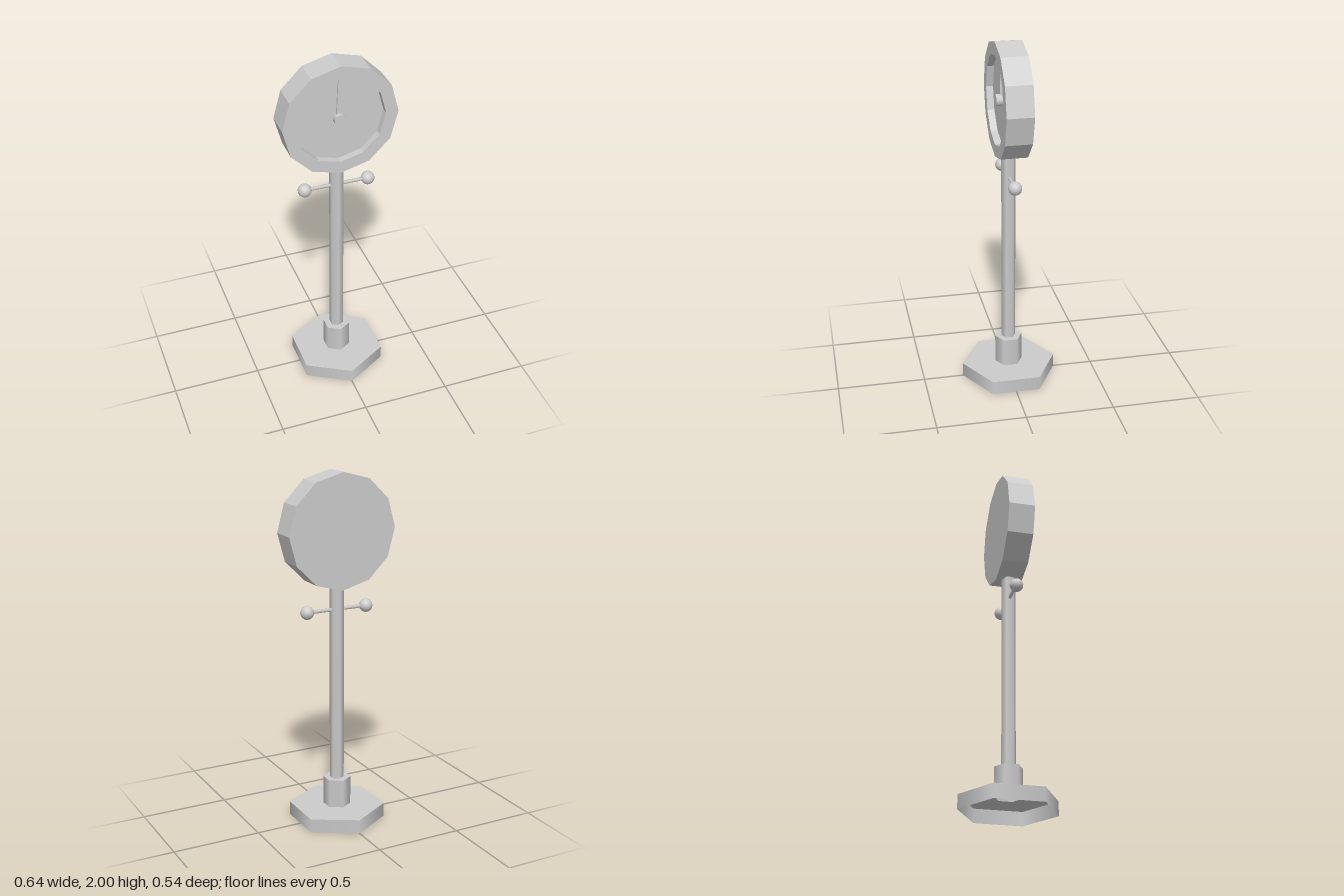
import * as THREE from 'three';

const material = new THREE.MeshStandardMaterial({ color: 0xcccccc, side: THREE.DoubleSide });
const flatMaterial = new THREE.MeshStandardMaterial({ color: 0xcccccc, flatShading: true });

function polygon(Type, radius, sides) {
  const points = [];
  for (let i = 0; i < sides; i++) {
    const a = (i / sides) * Math.PI * 2;
    points.push(new THREE.Vector2(Math.cos(a) * radius, Math.sin(a) * radius));
  }
  return new Type(points);
}

export function createModel() {
  const model = new THREE.Group();

  function add(name, geometry, x, y, z, parent = model, mat = material) {
    const mesh = new THREE.Mesh(geometry, mat);
    mesh.name = name;
    mesh.position.set(x, y, z);
    parent.add(mesh);
    return mesh;
  }

  // Six-sided tube between two heights
  const hexTube = (name, r, y0, y1) =>
    add(name, new THREE.CylinderGeometry(r, r, y1 - y0, 6, 1, true), 0, (y0 + y1) / 2, 0);
  // Flat hexagonal ring that caps a tube
  const hexRing = (name, inner, outer, y) =>
    add(name, new THREE.RingGeometry(inner, outer, 6, 1, Math.PI / 2).rotateX(-Math.PI / 2), 0, y, 0);

  // Hollow foot, collar and pole
  hexTube('baseWall', 0.272, 0, 0.08);
  hexRing('baseTop', 0.078, 0.272, 0.08);
  hexTube('collarWall', 0.078, 0.08, 0.245);
  hexRing('collarTop', 0.04, 0.078, 0.245);
  hexTube('pole', 0.04, 0.245, 1.4);

  // Crossbar with a ball at each end
  const bar = new THREE.CylinderGeometry(0.01, 0.01, 0.36, 6).rotateZ(Math.PI / 2);
  add('crossbar', bar, 0, 1.24, 0);
  for (const side of [-1, 1]) {
    add(side > 0 ? 'leftBall' : 'rightBall', new THREE.SphereGeometry(0.038, 16, 12), side * 0.182, 1.24, 0);
  }

  // Twelve-sided dial head: solid back and raised rim
  const head = new THREE.Group();
  head.name = 'dialHead';
  head.position.y = 1.68;
  model.add(head);

  const dialZ = 0.035, backZ = -0.074, frontZ = 0.074;
  const rim = polygon(THREE.Shape, 0.32, 12);
  rim.holes.push(polygon(THREE.Path, 0.25, 12));
  add('casing', new THREE.ExtrudeGeometry(rim, { depth: frontZ - backZ, bevelEnabled: false }),
    0, 0, backZ, head, flatMaterial);
  const disc = polygon(THREE.Shape, 0.25, 12);
  add('dialFace', new THREE.ExtrudeGeometry(disc, { depth: dialZ - backZ, bevelEnabled: false }),
    0, 0, backZ, head, flatMaterial);

  // Pointer and its hub
  const pointer = new THREE.Shape([[-0.016, 0], [0.016, 0], [0.007, 0.2], [0, 0.23], [-0.007, 0.2]]
    .map(([x, y]) => new THREE.Vector2(x, y)));
  add('pointer', new THREE.ExtrudeGeometry(pointer, { depth: 0.012, bevelEnabled: false }),
    0, 0, dialZ, head, flatMaterial);
  add('hub', new THREE.CylinderGeometry(0.033, 0.033, 0.035, 10).rotateX(Math.PI / 2),
    0, 0, dialZ + 0.0175, head);

  return model;
}
